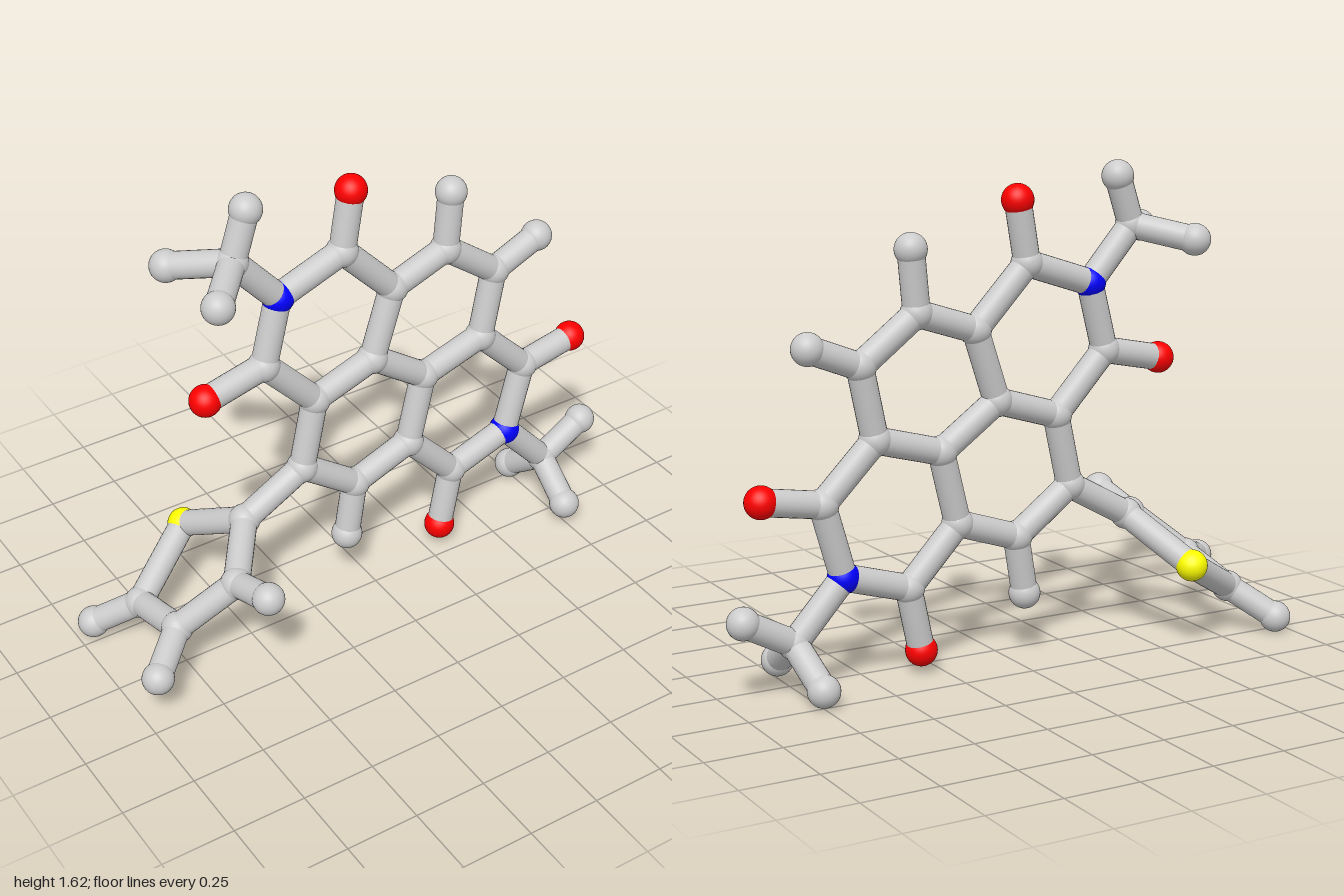
import * as THREE from 'three';

const BALL = 0.053, STICK = 0.044;
const COLORS = { C: 0xcccccc, H: 0xcccccc, N: 0x0000ff, O: 0xff0000, S: 0xffff00 };
const NAMES = { C: 'carbonBall', H: 'hydrogenBall', N: 'nitrogenBall', O: 'oxygenBall', S: 'sulfurBall' };

// the fused rings lie in one slightly tilted plane
const planeZ = (x, y) => -0.058 - 0.035 * (x + y);

// atoms: [x, y, z]; z is taken from the ring plane when omitted
const ATOMS = {
  // fused ring core
  C1: [-0.06, 1.31], C2: [-0.37, 1.0], C3: [0.13, 1.11], C4: [0.345, 1.18], C5: [0.545, 1.03],
  C6: [0.49, 0.79], C7: [0.25, 0.725], C8: [0.045, 0.87], C9: [-0.185, 0.8], C10: [-0.245, 0.555],
  C11: [-0.04, 0.405], C12: [0.185, 0.48], C13: [0.365, 0.29], C14: [0.675, 0.605],
  N1: [-0.305, 1.23], N2: [0.6, 0.36],
  // atoms on the rim
  O1: [-0.02, 1.515], O2: [-0.59, 0.955], O13: [0.315, 0.073], O14: [0.885, 0.64],
  H4: [0.368, 1.383], H5: [0.725, 1.1], H11: [-0.077, 0.207],
  // methyl ends
  C15: [-0.463, 1.41, -0.09], H15a: [-0.403, 1.573, -0.1], H15b: [-0.605, 1.385, 0.073], H15c: [-0.61, 1.368, -0.245],
  C16: [0.772, 0.17, -0.09], H16a: [0.947, 0.263, -0.1], H16b: [0.757, 0.07, 0.075], H16c: [0.745, 0.055, -0.243],
  // five-sided side ring
  C17: [-0.47, 0.43, -0.07], S1: [-0.57, 0.293, -0.318], C18: [-0.622, 0.372, 0.137],
  C19: [-0.805, 0.217, 0.06], C20: [-0.815, 0.155, -0.183],
  H18: [-0.605, 0.425, 0.312], H19: [-0.947, 0.163, 0.187], H20: [-0.943, 0.054, -0.287],
};

// chains of bonded atoms
const CHAINS = [
  'N1 C1 C3 C8 C9 C2 N1', 'C3 C4 C5 C6 C7 C8', 'C9 C10 C11 C12 C7', 'C12 C13 N2 C14 C6',
  'C1 O1', 'C2 O2', 'C13 O13', 'C14 O14', 'C4 H4', 'C5 H5', 'C11 H11',
  'N1 C15 H15a', 'H15b C15 H15c', 'N2 C16 H16a', 'H16b C16 H16c',
  'C10 C17 S1 C20 C19 C18 C17', 'C18 H18', 'C19 H19', 'C20 H20',
];

export function createModel() {
  const model = new THREE.Group();
  model.name = 'molecule';
  const balls = new THREE.Group();
  balls.name = 'atoms';
  const sticks = new THREE.Group();
  sticks.name = 'bonds';
  model.add(balls, sticks);

  const materials = {};
  for (const k in COLORS) materials[k] = new THREE.MeshStandardMaterial({ color: COLORS[k] });

  // balls
  const ballGeometry = new THREE.SphereGeometry(BALL, 32, 20);
  const points = {};
  for (const [id, [x, y, z = planeZ(x, y)]] of Object.entries(ATOMS)) {
    points[id] = new THREE.Vector3(x, y, z);
    const ball = new THREE.Mesh(ballGeometry, materials[id[0]]);
    ball.name = NAMES[id[0]];
    ball.position.copy(points[id]);
    balls.add(ball);
  }

  // sticks, running from ball centre to ball centre
  const stickGeometry = new THREE.CylinderGeometry(STICK, STICK, 1, 24, 1, true);
  const up = new THREE.Vector3(0, 1, 0);
  for (const chain of CHAINS) {
    const ids = chain.split(' ');
    for (let i = 1; i < ids.length; i++) {
      const a = points[ids[i - 1]], b = points[ids[i]];
      const dir = b.clone().sub(a);
      const stick = new THREE.Mesh(stickGeometry, materials.C);
      stick.name = 'bond';
      stick.position.copy(a).lerp(b, 0.5);
      stick.scale.y = dir.length();
      stick.quaternion.setFromUnitVectors(up, dir.normalize());
      sticks.add(stick);
    }
  }
  return model;
}
